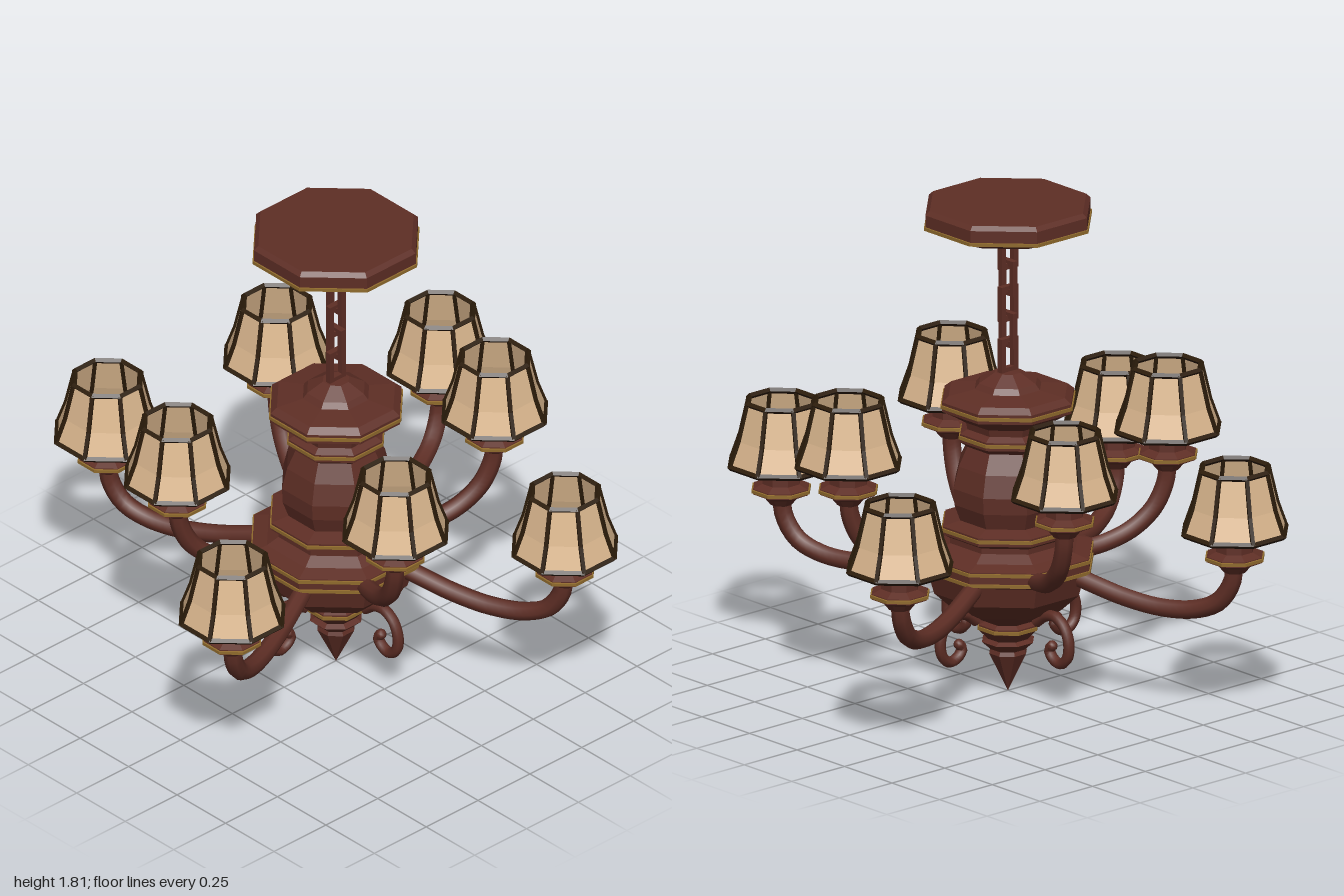
import * as THREE from 'three';
import { mergeGeometries } from 'three/addons/utils/BufferGeometryUtils.js';

const material = (name, color, side = THREE.FrontSide) => {
  const m = new THREE.MeshStandardMaterial({ color, side });
  m.name = name;
  return m;
};

export function createModel() {
  const bronze = material('reddish bronze', 0x5e2e25);
  const gold = material('aged gold', 0x8f6a2c);
  const glass = material('cream glass', 0xdcb88f, THREE.DoubleSide);
  const frame = material('dark frame', 0x2c1c0a);

  const model = new THREE.Group();
  model.name = 'chandelier';

  const add = (parent, name, geometry, mat) => {
    const mesh = new THREE.Mesh(geometry, mat);
    mesh.name = name;
    parent.add(mesh);
    return mesh;
  };
  // Faceted copy of a geometry
  const facet = (g) => {
    const flat = g.index ? g.toNonIndexed() : g;
    flat.computeVertexNormals();
    return flat;
  };
  // Eight-sided turned part; radii are measured to the corners
  const turned = (profile, phase = 0) =>
    facet(new THREE.LatheGeometry(profile.map(([r, y]) => new THREE.Vector2(r, y)), 8, phase));
  // Turned part whose flats face the axes; radii are measured to the flats
  const column = (profile) =>
    turned(profile.map(([r, y]) => [r / Math.cos(Math.PI / 8), y]), Math.PI / 8);
  const tube = (points, radius, segments) => {
    const curve = new THREE.CatmullRomCurve3(points.map(([x, y]) => new THREE.Vector3(x, y, 0)));
    return new THREE.TubeGeometry(curve, segments, radius, 8);
  };

  // Ceiling canopy
  add(model, 'canopy', column([
    [0, 1.70], [0.19, 1.70], [0.285, 1.74], [0.285, 1.795], [0.27, 1.81], [0, 1.81],
  ]), bronze);

  // Central column from finial to crown
  add(model, 'column', column([
    [0, 0], [0.065, 0.145], [0.06, 0.16], [0.09, 0.19], [0.07, 0.20], [0.1, 0.235],
    [0.1, 0.255], [0.08, 0.265], [0.11, 0.28], [0.19, 0.325], [0.255, 0.39],
    [0.275, 0.465], [0.292, 0.475], [0.292, 0.53], [0.24, 0.545], [0.2, 0.57],
    [0.2, 0.59], [0.225, 0.605], [0.225, 0.635], [0.165, 0.65], [0.185, 0.71],
    [0.188, 0.77], [0.17, 0.85], [0.14, 0.92], [0.165, 0.94], [0.165, 0.97],
    [0.14, 0.985], [0.145, 1.01], [0.2, 1.045], [0.228, 1.06], [0.228, 1.095],
    [0.205, 1.115], [0.115, 1.13], [0.1, 1.15], [0.045, 1.185], [0, 1.187],
  ]), bronze);

  // Gold bands: flat radius, centre height
  for (const [r, y] of [[0.287, 1.745], [0.102, 0.243], [0.294, 0.481], [0.294, 0.52],
    [0.227, 0.622], [0.167, 0.957], [0.23, 1.078]]) {
    add(model, 'goldBand', column([
      [r - 0.015, y - 0.008], [r + 0.003, y - 0.006], [r + 0.003, y + 0.006], [r - 0.015, y + 0.008],
    ]), gold);
  }

  // Chain of alternating rectangular links
  const linkShape = new THREE.Shape();
  const rectangle = (path, w, h) => path
    .moveTo(-w, -h).lineTo(w, -h).lineTo(w, h).lineTo(-w, h).closePath();
  rectangle(linkShape, 0.039, 0.065);
  const opening = new THREE.Path();
  rectangle(opening, 0.019, 0.043);
  linkShape.holes.push(opening);
  const linkGeometry = new THREE.ExtrudeGeometry(linkShape, { depth: 0.022, bevelEnabled: false });
  linkGeometry.translate(0, 0, -0.011);
  for (let i = 0; i < 5; i++) {
    const link = add(model, 'chainLink', linkGeometry, bronze);
    link.position.y = 1.245 + i * 0.0965;
    link.rotation.y = (i % 2) * Math.PI / 2;
  }

  // Scrolls under the column
  const scrollGeometry = tube([
    [0.15, 0.29], [0.2, 0.325], [0.25, 0.333], [0.297, 0.305], [0.32, 0.25], [0.312, 0.195],
    [0.275, 0.165], [0.235, 0.178], [0.218, 0.205], [0.232, 0.222],
  ], 0.02, 32);
  for (let i = 0; i < 4; i++) {
    const scroll = new THREE.Group();
    scroll.name = 'scroll';
    scroll.rotation.y = i * Math.PI / 2;
    add(scroll, 'scrollTube', scrollGeometry, bronze);
    const cap = add(scroll, 'scrollTip', new THREE.SphereGeometry(0.02, 8, 6), bronze);
    cap.position.set(0.232, 0.222, 0);
    model.add(scroll);
  }

  // Lamp parts, with the cup base at the origin
  const cupGeometry = turned([
    [0, -0.01], [0.04, -0.01], [0.06, 0.015], [0.105, 0.035], [0.105, 0.055],
    [0.07, 0.07], [0.068, 0.15], [0.055, 0.165], [0, 0.165],
  ]);
  const cupBandGeometry = turned([[0.1, 0.038], [0.111, 0.04], [0.111, 0.051], [0.1, 0.053]]);
  const socketGeometry = new THREE.CylinderGeometry(0.03, 0.03, 0.03, 12).translate(0, 0.178, 0);
  const shadeProfile = [[0.19, 0.143], [0.157, 0.235], [0.125, 0.37]];
  const shadeGeometry = turned(shadeProfile);

  // Rims and ribs of the shade frame
  const frameParts = [shadeProfile[0], shadeProfile[2]].map(([r, y]) =>
    facet(new THREE.TorusGeometry(r, 0.011, 4, 8).rotateX(Math.PI / 2).translate(0, y, 0)));
  const up = new THREE.Vector3(0, 1, 0);
  for (let i = 0; i < 8; i++) {
    for (let j = 0; j < 2; j++) {
      const a = new THREE.Vector3(shadeProfile[j][0], shadeProfile[j][1], 0);
      const b = new THREE.Vector3(shadeProfile[j + 1][0], shadeProfile[j + 1][1], 0);
      const direction = b.clone().sub(a);
      const rib = new THREE.BoxGeometry(0.014, direction.length() + 0.004, 0.014);
      rib.applyQuaternion(new THREE.Quaternion().setFromUnitVectors(up, direction.normalize()));
      const middle = a.add(b).multiplyScalar(0.5);
      rib.translate(middle.x, middle.y, 0).rotateY(i * Math.PI / 4);
      frameParts.push(facet(rib));
    }
  }
  const frameGeometry = mergeGeometries(frameParts);

  // Two tiers of four arms with lamps
  const tiers = [
    { name: 'lowerArm', angle: Math.PI / 8, radius: 0.885, height: 0.577, path: [
      [0.885, 0.59], [0.872, 0.52], [0.82, 0.445], [0.73, 0.405], [0.6, 0.393],
      [0.46, 0.41], [0.34, 0.44], [0.22, 0.475]] },
    { name: 'upperArm', angle: -Math.PI / 8, radius: 0.597, height: 0.767, path: [
      [0.597, 0.78], [0.588, 0.71], [0.545, 0.62], [0.465, 0.55], [0.36, 0.508], [0.22, 0.485]] },
  ];
  for (const tier of tiers) {
    const armGeometry = tube(tier.path, 0.034, 28);
    for (let i = 0; i < 4; i++) {
      const arm = new THREE.Group();
      arm.name = tier.name;
      arm.rotation.y = tier.angle + i * Math.PI / 2;
      add(arm, 'armTube', armGeometry, bronze);
      const lamp = new THREE.Group();
      lamp.name = 'lamp';
      lamp.position.set(tier.radius, tier.height, 0);
      add(lamp, 'cup', cupGeometry, bronze);
      add(lamp, 'cupBand', cupBandGeometry, gold);
      add(lamp, 'socket', socketGeometry, frame);
      add(lamp, 'shade', shadeGeometry, glass);
      add(lamp, 'shadeFrame', frameGeometry, frame);
      arm.add(lamp);
      model.add(arm);
    }
  }
  return model;
}
